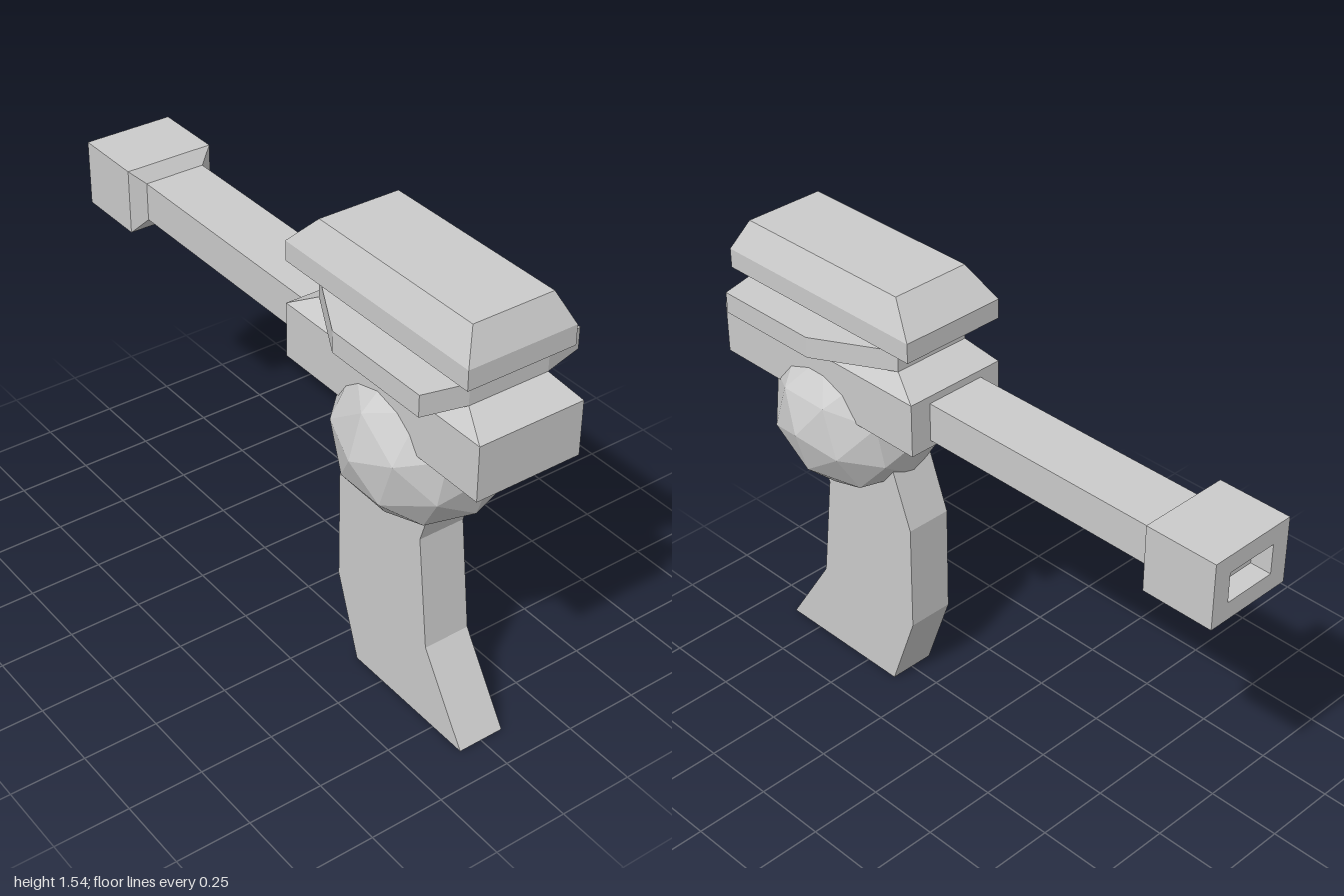
import * as THREE from 'three';

const material = new THREE.MeshStandardMaterial({ color: 0xcccccc, flatShading: true, roughness: 0.8 });

// Rectangular sections [y, halfWidth, zMin, zMax] stacked along y, both ends capped.
function stack(sections) {
  const rings = sections.map(([y, w, z0, z1]) => [[-w, y, z1], [w, y, z1], [w, y, z0], [-w, y, z0]]);
  const pos = [];
  const quad = (a, b, c, d) => pos.push(...a, ...b, ...c, ...a, ...c, ...d);
  for (let i = 0; i < rings.length - 1; i++) {
    for (let j = 0; j < 4; j++) {
      const k = (j + 1) % 4;
      quad(rings[i][j], rings[i][k], rings[i + 1][k], rings[i + 1][j]);
    }
  }
  const [first, last] = [rings[0], rings[rings.length - 1]];
  quad(first[3], first[2], first[1], first[0]);
  quad(...last);
  const geo = new THREE.BufferGeometry();
  geo.setAttribute('position', new THREE.Float32BufferAttribute(pos, 3));
  geo.computeVertexNormals();
  return geo;
}

export function createModel() {
  const model = new THREE.Group();
  const add = (name, geo) => {
    const mesh = new THREE.Mesh(geo, material);
    mesh.name = name;
    model.add(mesh);
    return mesh;
  };

  // Grip: slanted sections, the top hidden in the ball
  add('grip', stack([
    [0, 0.08, 0.37, 0.88],
    [0.28, 0.08, 0.27, 0.7],
    [0.66, 0.08, 0.27, 0.655],
    [0.9, 0.08, 0.36, 0.73],
  ]));

  // Faceted ball with its pole along x
  const ball = new THREE.IcosahedronGeometry(0.281, 1);
  ball.rotateZ(Math.atan((1 + Math.sqrt(5)) / 2));
  ball.scale(0.985, 0.985, 1.015);
  add('ball', ball).position.set(0, 0.973, 0.57);

  // Chamfered body
  add('body', stack([
    [0.993, 0.11, 0.3, 0.83],
    [1.055, 0.18, 0.14, 1],
    [1.235, 0.18, 0.14, 1],
    [1.29, 0.137, 0.24, 0.9],
  ]));

  // Winged plate between body and cover
  const outline = [[0.137, 0.9], [0.276, 0.865], [0.276, 0.49], [0.137, 0.24]];
  const points = [...outline, ...outline.map(([x, z]) => [-x, z]).reverse()];
  const plate = new THREE.ExtrudeGeometry(
    new THREE.Shape(points.map(([x, z]) => new THREE.Vector2(x, -z))),
    { depth: 0.07, bevelEnabled: false });
  plate.rotateX(-Math.PI / 2);
  add('wingPlate', plate).position.y = 1.29;

  // Top cover
  add('topCover', stack([
    [1.36, 0.137, 0.24, 0.9],
    [1.38, 0.185, 0.145, 0.947],
    [1.445, 0.185, 0.145, 0.947],
    [1.543, 0.138, 0.24, 0.9],
  ]));

  // Barrel
  const barrel = add('barrel', new THREE.BoxGeometry(0.21, 0.13, 0.885));
  barrel.position.set(0, 1.145, -0.2825);

  // Muzzle with a recessed opening, stacked along -z
  const muzzle = stack([
    [0.725, 0.105, 1.08, 1.21],
    [0.755, 0.153, 1.035, 1.255],
    [1, 0.153, 1.035, 1.255],
    [1, 0.09, 1.095, 1.195],
    [0.93, 0.09, 1.095, 1.195],
  ]);
  add('muzzle', muzzle.rotateX(-Math.PI / 2));

  return model;
}
